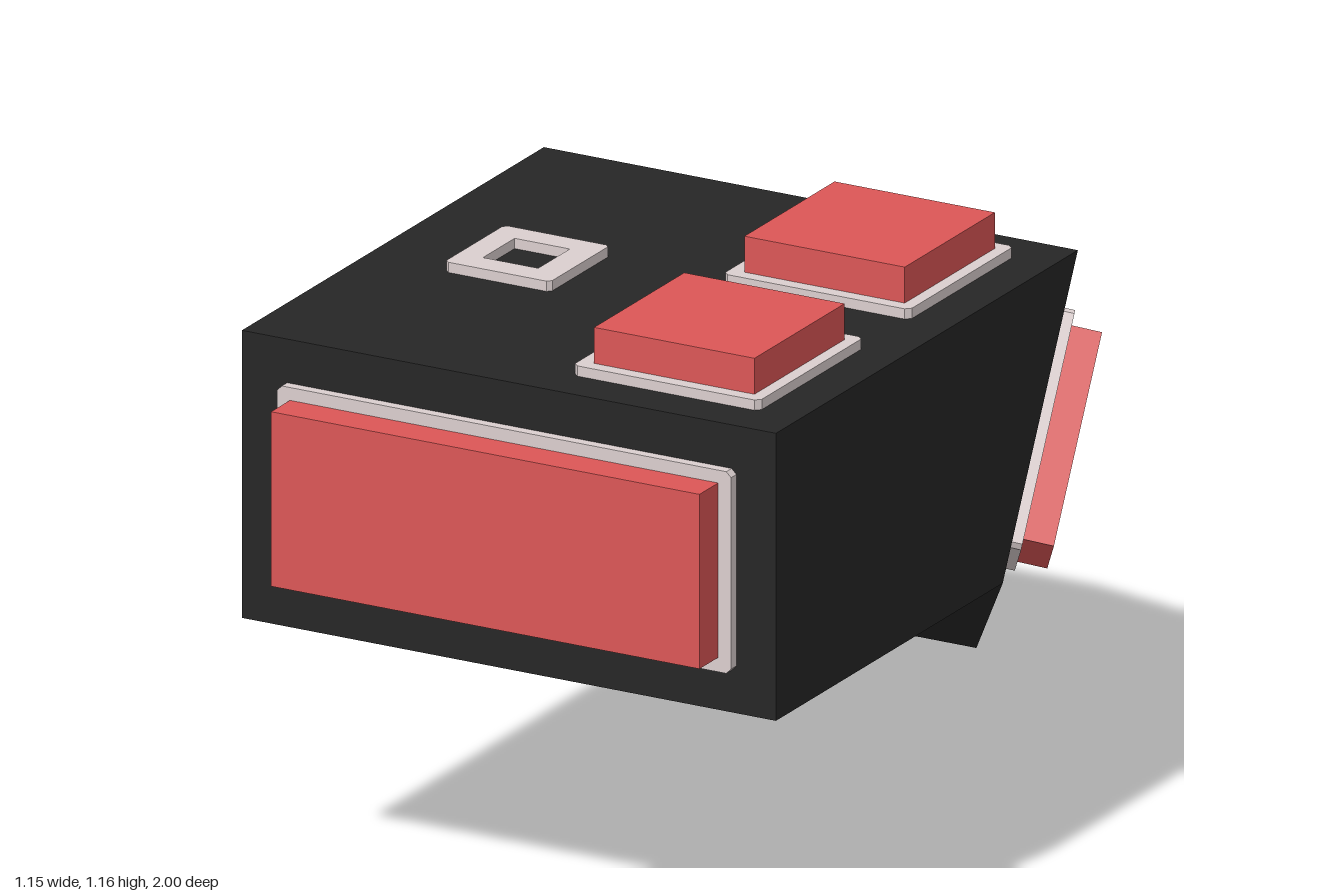
import * as THREE from 'three';

const charcoal = new THREE.MeshStandardMaterial({ name: 'charcoal', color: 0x262626 });
const red = new THREE.MeshStandardMaterial({ name: 'red', color: 0xdc5656 });
const paleGrey = new THREE.MeshStandardMaterial({ name: 'paleGrey', color: 0xdbcfcf });

const V3 = (x, y, z) => new THREE.Vector3(x, y, z);
const rect = (x0, x1, y0, y1) => [[x0, y0], [x1, y0], [x1, y1], [x0, y1]];

// Replace each corner with a short cut
function cutCorners(pts, c) {
  const out = [];
  pts.forEach((p, i) => {
    for (const q of [pts[(i + pts.length - 1) % pts.length], pts[(i + 1) % pts.length]]) {
      const d = Math.hypot(q[0] - p[0], q[1] - p[1]);
      out.push([p[0] + (q[0] - p[0]) * c / d, p[1] + (q[1] - p[1]) * c / d]);
    }
  });
  return out;
}

// Flat prism over an outline, with an optional hole
function prism(name, outline, depth, material, hole) {
  const shape = new THREE.Shape(outline.map(p => new THREE.Vector2(...p)));
  if (hole) shape.holes.push(new THREE.Path(hole.map(p => new THREE.Vector2(...p))));
  const mesh = new THREE.Mesh(new THREE.ExtrudeGeometry(shape, { depth, bevelEnabled: false }), material);
  mesh.name = name;
  return mesh;
}

// Raised button standing in a thin frame
function button(name, frame, cap, height) {
  const g = new THREE.Group();
  g.name = name;
  g.add(prism(name + 'Frame', cutCorners(frame, 0.01), 0.02, paleGrey, cap));
  g.add(prism(name + 'Cap', cap, height, red));
  return g;
}

// Body: three cross-sections, the last one lowered, tilted and narrowed
function body() {
  const section = (x, yt, zt, yb, zb) =>
    [V3(-0.575, yt, zt), V3(x, yt, zt), V3(x, yb, zb), V3(-0.575, yb, zb)];
  const s = [
    section(0.547, 1.07, 0.91, 0.51, 0.91),
    section(0.547, 1.07, -0.215, 0.51, 0.065),
    section(-0.013, 0.28, -1.0, 0, -0.83),
  ];
  const pos = [];
  const quad = (a, b, c, d) => [a, b, c, a, c, d].forEach(p => pos.push(p.x, p.y, p.z));
  quad(s[0][3], s[0][2], s[0][1], s[0][0]);
  quad(...s[2]);
  for (let i = 0; i < 2; i++) {
    for (let j = 0; j < 4; j++) {
      const k = (j + 1) % 4;
      quad(s[i][j], s[i][k], s[i + 1][k], s[i + 1][j]);
    }
  }
  const geo = new THREE.BufferGeometry();
  geo.setAttribute('position', new THREE.Float32BufferAttribute(pos, 3));
  geo.computeVertexNormals();
  const mesh = new THREE.Mesh(geo, charcoal);
  mesh.name = 'body';
  return mesh;
}

// Four-sided button lying on the slanted side; corners are given as [z, y]
function slantedButton() {
  const origin = V3(0.547, 1.07, -0.215);
  const n = V3(0.6608, -0.1568, -0.3136).normalize();
  const v = V3(0, 1, 0).addScaledVector(n, -n.y).normalize();
  const u = v.clone().cross(n);
  const flatten = pts => pts.map(([z, y]) => {
    const x = -(n.y * (y - origin.y) + n.z * (z - origin.z)) / n.x;
    const d = V3(x, y - origin.y, z - origin.z);
    return [d.dot(u), d.dot(v)];
  });
  const frame = flatten([[-0.231, 0.95], [-0.022, 0.547], [-0.365, 0.359], [-0.52, 0.654]]);
  const cap = flatten([[-0.234, 0.914], [-0.043, 0.559], [-0.347, 0.386], [-0.492, 0.656]]);
  const g = button('sideButton', frame, cap, 0.077);
  g.applyMatrix4(new THREE.Matrix4().makeBasis(u, v, n).setPosition(origin));
  return g;
}

export function createModel() {
  const model = new THREE.Group();
  model.name = 'controller';
  model.add(body());

  // Wide front button
  const front = button('frontButton', rect(-0.49, 0.464, 0.592, 0.985), rect(-0.463, 0.437, 0.62, 0.96), 0.09);
  front.position.z = 0.91;
  model.add(front);

  // Top panel, drawn in x and -z, then laid flat
  const top = new THREE.Group();
  top.name = 'topPanel';
  top.rotation.x = -Math.PI / 2;
  top.position.y = 1.07;
  [['rearTopButton', -0.067], ['frontTopButton', -0.627]].forEach(([name, c]) => {
    top.add(button(name, rect(0.07, 0.462, c - 0.195, c + 0.195), rect(0.1, 0.437, c - 0.168, c + 0.168), 0.09));
  });
  top.add(prism('smallSquareRing', cutCorners(rect(-0.406, -0.184, -0.455, -0.232), 0.008), 0.02, paleGrey,
    rect(-0.355, -0.239, -0.402, -0.284)));
  model.add(top);

  model.add(slantedButton());
  return model;
}
